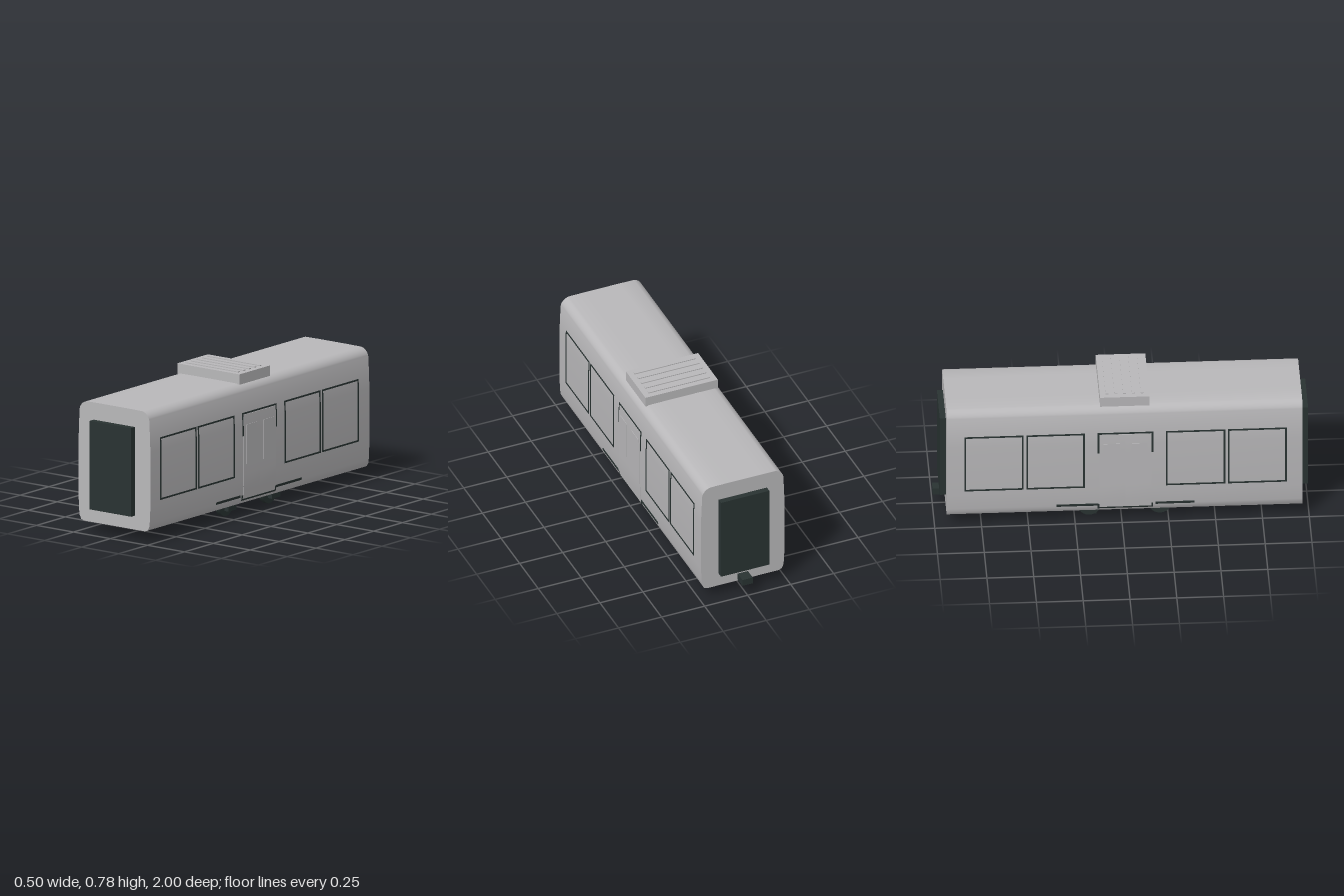
import * as THREE from 'three';
import { toCreasedNormals } from 'three/addons/utils/BufferGeometryUtils.js';

const material = (name, color) => {
  const m = new THREE.MeshStandardMaterial({ color });
  m.name = name;
  return m;
};

// Side wall profile: half width and height, from the floor upwards
const WALL = [[0.225, 0.07], [0.235, 0.09], [0.238, 0.11], [0.243, 0.2], [0.243, 0.5], [0.236, 0.67]];
const wallX = (y) => {
  let i = 1;
  while (i < WALL.length - 1 && y > WALL[i][1]) i++;
  const [x0, y0] = WALL[i - 1], [x1, y1] = WALL[i];
  return x0 + ((x1 - x0) * (y - y0)) / (y1 - y0);
};

export function createModel() {
  const grey = material('bodyGrey', 0xb9b8ba);
  const dark = material('darkTrim', 0x293332);
  const model = new THREE.Group();

  const add = (name, geometry, mat, x = 0, y = 0, z = 0, parent = model) => {
    const mesh = new THREE.Mesh(geometry, mat);
    mesh.name = name;
    mesh.position.set(x, y, z);
    parent.add(mesh);
    return mesh;
  };
  // Box given by its limits on each axis
  const box = (name, mat, x0, x1, y0, y1, z0, z1) =>
    add(name, new THREE.BoxGeometry(x1 - x0, y1 - y0, z1 - z0), mat,
      (x0 + x1) / 2, (y0 + y1) / 2, (z0 + z1) / 2);

  // Body: rounded section extruded along z
  const right = [[0.205, 0.063], ...WALL];
  const corner = new THREE.CubicBezierCurve(
    new THREE.Vector2(0.236, 0.67), new THREE.Vector2(0.232, 0.695),
    new THREE.Vector2(0.215, 0.712), new THREE.Vector2(0.19, 0.719));
  corner.getPoints(8).slice(1).forEach((p) => right.push([p.x, p.y]));
  right.push([0.1, 0.72]);
  const left = right.map(([x, y]) => [-x, y]).reverse();
  const section = new THREE.Shape([...right, ...left].map(([x, y]) => new THREE.Vector2(x, y)));
  const body = new THREE.ExtrudeGeometry(section, { depth: 1.9, bevelEnabled: false });
  add('body', toCreasedNormals(body, 0.7), grey, 0, 0, -0.935);

  // End gangways and rear coupler
  box('frontGangway', dark, -0.14, 0.14, 0.14, 0.625, 0.96, 1);
  box('rearGangway', dark, -0.14, 0.14, 0.14, 0.625, -0.967, -0.93);
  box('coupler', dark, -0.03, 0.03, 0.07, 0.108, -1, -0.93);

  // Roof unit with louvres
  box('roofUnit', grey, -0.21, 0.21, 0.715, 0.772, -0.115, 0.15);
  for (let i = 0; i < 5; i++) {
    const z = 0.112 - i * 0.047;
    box('roofLouvre', grey, -0.178, 0.178, 0.77, 0.777, z - 0.008, z + 0.008);
  }

  for (const side of [1, -1]) {
    const wall = new THREE.Group();
    wall.name = side > 0 ? 'leftSide' : 'rightSide';
    model.add(wall);

    // Thin plate that follows the curve of the wall
    const plate = (name, mat, z0, z1, y0, y1, proud) => {
      const g = new THREE.BoxGeometry(proud + 0.003, y1 - y0, z1 - z0, 1, 10, 1);
      g.translate(0, (y0 + y1) / 2, (z0 + z1) / 2);
      const p = g.attributes.position;
      for (let i = 0; i < p.count; i++) {
        p.setX(i, p.getX(i) + side * (wallX(p.getY(i)) + (proud - 0.003) / 2));
      }
      g.computeVertexNormals();
      add(name, g, mat, 0, 0, 0, wall);
    };

    // Window frames
    for (const [z0, z1] of [[0.565, 0.88], [0.235, 0.552], [-0.51, -0.198], [-0.842, -0.525]]) {
      const t = 0.009, y0 = 0.225, y1 = 0.567;
      plate('windowFrameBottom', dark, z0, z1, y0, y0 + t, 0.002);
      plate('windowFrameTop', dark, z0, z1, y1 - t, y1, 0.002);
      plate('windowFrameSide', dark, z0, z0 + t, y0, y1, 0.002);
      plate('windowFrameSide', dark, z1 - t, z1, y0, y1, 0.002);
    }

    // Double door with its partly covered frame
    plate('doorFrameTop', dark, -0.13, 0.167, 0.558, 0.567, 0.002);
    plate('doorSill', dark, -0.13, 0.167, 0.085, 0.094, 0.002);
    for (const z of [-0.13, 0.158]) {
      plate('doorFrameSide', dark, z, z + 0.009, 0.44, 0.567, 0.002);
      plate('doorFrameFoot', dark, z, z + 0.009, 0.085, 0.115, 0.002);
    }
    plate('doorLeaf', grey, 0.0185, 0.157, 0.096, 0.556, 0.003);
    plate('doorLeaf', grey, -0.12, 0.0185, 0.096, 0.556, 0.003);
    plate('doorWindow', grey, 0.05, 0.135, 0.285, 0.5, 0.005);
    plate('doorWindow', grey, -0.1, -0.012, 0.285, 0.5, 0.005);

    // Door rails
    plate('doorRail', dark, 0.18, 0.388, 0.106, 0.119, 0.003);
    plate('doorRail', dark, -0.35, -0.125, 0.106, 0.119, 0.003);
  }

  // Running gear
  const cylinder = (name, r, length, x, y, z) => {
    add(name, new THREE.CylinderGeometry(r, r, length, 20), dark, x, y, z).rotation.z = Math.PI / 2;
  };
  for (const z of [0.208, -0.17]) {
    cylinder('axle', 0.013, 0.36, 0, 0.06, z);
    for (const side of [1, -1]) {
      cylinder('wheel', 0.06, 0.027, side * 0.151, 0.06, z);
      box('axleBox', dark, side * 0.195 - 0.014, side * 0.195 + 0.014, 0.037, 0.07, z - 0.035, z + 0.035);
    }
  }
  box('underframePlate', dark, -0.08, 0.08, 0.061, 0.066, -0.12, 0.165);
  for (const side of [1, -1]) {
    box('underframeRail', dark, side * 0.185 - 0.012, side * 0.185 + 0.012, 0.061, 0.066, -0.3, 0.33);
  }
  return model;
}
